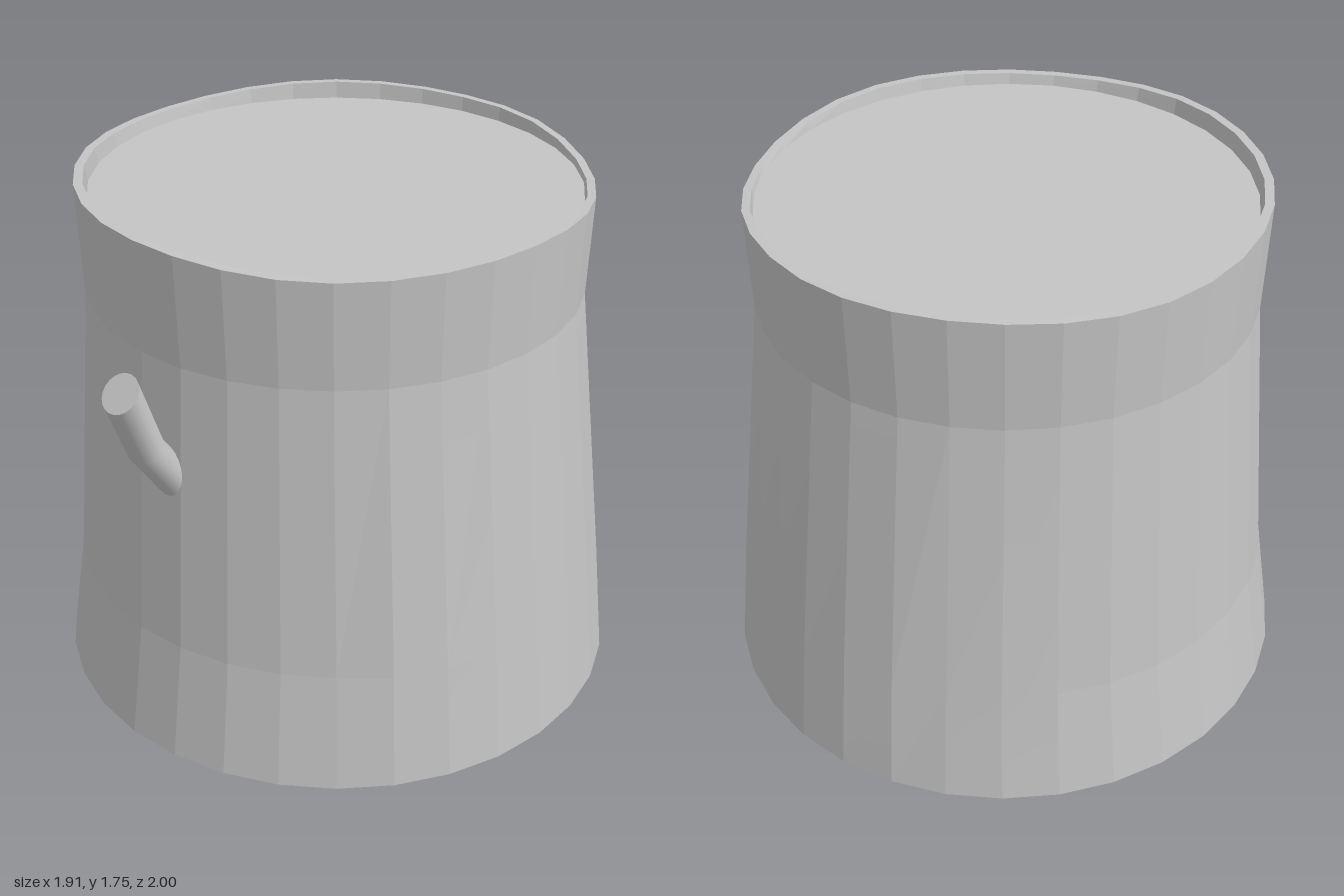
import * as THREE from 'three';
import { toCreasedNormals } from 'three/addons/utils/BufferGeometryUtils.js';

const SIDES = 32;

// Skin a stack of closed rings; ring(angle) returns [x, y, z]. Rings run bottom to top.
function loft(rings, sides, crease) {
  const pos = [], index = [];
  rings.forEach((ring) => {
    for (let i = 0; i < sides; i++) pos.push(...ring((i / sides) * Math.PI * 2));
  });
  for (let r = 0; r < rings.length - 1; r++) {
    for (let i = 0; i < sides; i++) {
      const a = r * sides + i, b = r * sides + ((i + 1) % sides);
      index.push(a, a + sides, b, b, a + sides, b + sides);
    }
  }
  const g = new THREE.BufferGeometry();
  g.setAttribute('position', new THREE.Float32BufferAttribute(pos, 3));
  g.setIndex(index);
  return toCreasedNormals(g, crease);
}

// Horizontal ring; radius and height may vary with the angle (0 = +x, 90 degrees = +z)
function level(radius, height, cz) {
  const at = (v, t) => (typeof v === 'function' ? v(t) : v);
  return (t) => [Math.cos(t) * at(radius, t), at(height, t), cz + Math.sin(t) * at(radius, t)];
}

// Uneven rim height, eased between eight heights around the stump
const RIM = [1.738, 1.73, 1.752, 1.75, 1.735, 1.752, 1.742, 1.708];
function rimHeight(t) {
  const u = (t / (Math.PI * 2)) * RIM.length;
  const i = Math.floor(u) % RIM.length, f = u - Math.floor(u);
  const s = f * f * (3 - 2 * f);
  return RIM[i] * (1 - s) + RIM[(i + 1) % RIM.length] * s;
}

// The foot flares more sharply on the front and right sides
function flare(t) {
  const deg = THREE.MathUtils.radToDeg(t);
  return deg > 44 && deg < 226 ? 0.898 : 0.915;
}

export function createModel() {
  const group = new THREE.Group();
  const grey = new THREE.MeshStandardMaterial({ color: 0xc4c4c4 });
  grey.name = 'wood grey';

  const add = (name, geometry) => {
    const mesh = new THREE.Mesh(geometry, grey);
    mesh.name = name;
    group.add(mesh);
  };

  // Bark shell, from the underside lip up the outside, over the rim and down to the cut wood
  add('bark', loft([
    level(0.93, 0.01, -0.045),
    level(0.93, 0, -0.045),
    level(0.955, 0, -0.045),
    level(flare, 0.4, -0.045),
    level(0.815, 1.38, -0.03),
    level(0.828, rimHeight, -0.028),
    level(0.8, rimHeight, -0.03),
    level(0.792, 1.695, -0.032),
  ], SIDES, 0.05));

  // Flat cut surface on top and the flat underside
  add('cutTop', loft([level(0.794, 1.695, -0.032), level(0, 1.695, -0.032)], SIDES, 0.05));
  add('underside', loft([level(0, 0.008, -0.045), level(0.935, 0.008, -0.045)], SIDES, 0.05));

  // Bent branch stub: slanted rings given by centre and half-axis in the y-z plane
  const slant = (x, y, z, hy, hz, r) => (t) =>
    [x + Math.cos(t) * r, y + Math.sin(t) * hy, z + Math.sin(t) * hz];
  add('branch', loft([
    slant(0.1, 0.885, 0.7, -0.055, 0.035, 0.07),
    slant(0.102, 1.125, 0.872, -0.025, 0.05, 0.07),
    slant(0.108, 1.347, 0.957, -0.0475, 0.045, 0.07),
    slant(0.108, 1.347, 0.957, 0, 0, 0),
  ], 20, 0.6));

  return group;
}
